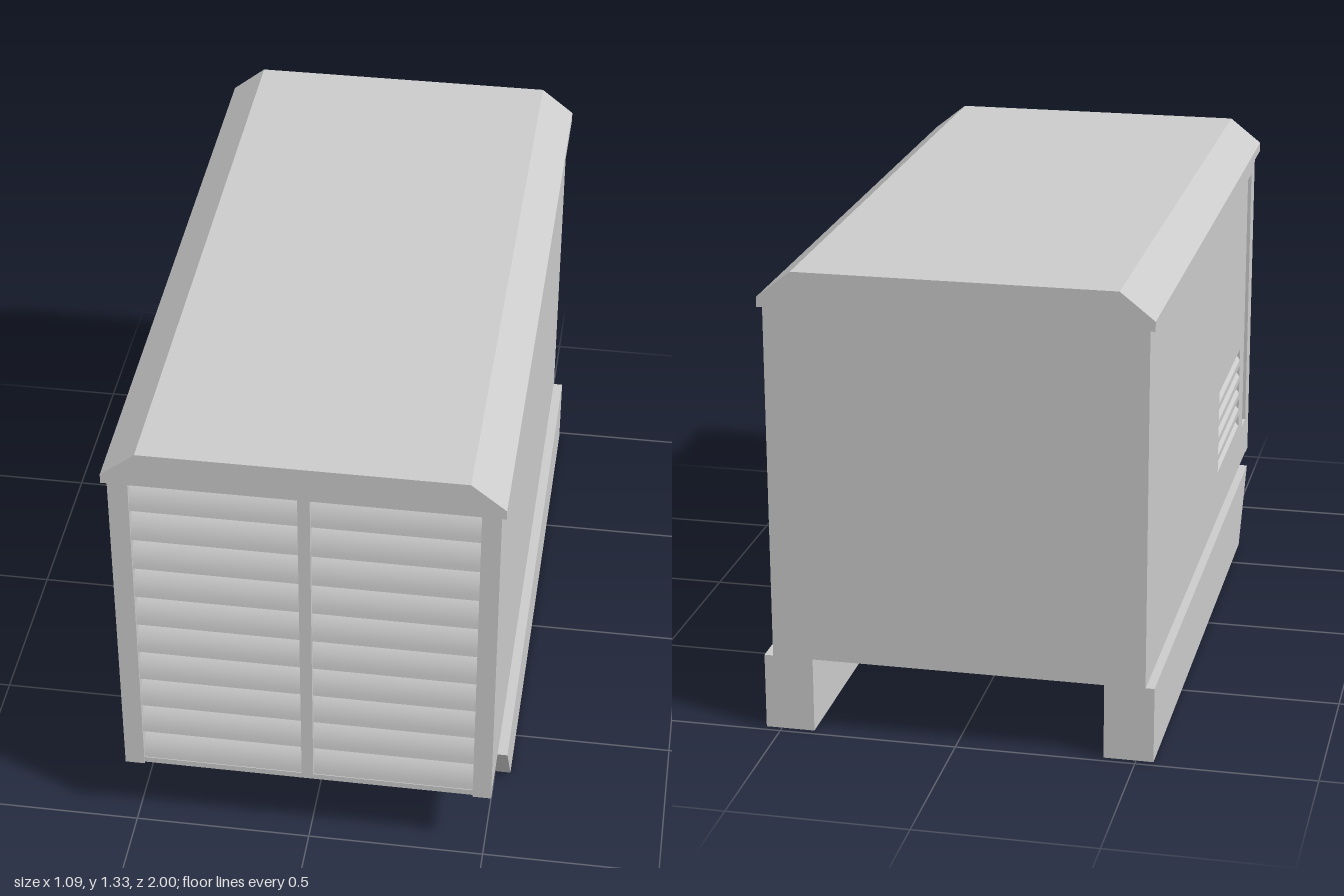
import * as THREE from 'three';
import { toCreasedNormals } from 'three/addons/utils/BufferGeometryUtils.js';

const grey = new THREE.MeshStandardMaterial({ color: 0xcccccc, side: THREE.DoubleSide });

// Box given by its limits on each axis
function box(name, [x0, x1], [y0, y1], [z0, z1]) {
  const m = new THREE.Mesh(new THREE.BoxGeometry(x1 - x0, y1 - y0, z1 - z0), grey);
  m.position.set((x0 + x1) / 2, (y0 + y1) / 2, (z0 + z1) / 2);
  m.name = name;
  return m;
}

const polygon = (pts) => new THREE.Shape(pts.map(([a, b]) => new THREE.Vector2(a, b)));
const rect = (a0, a1, b0, b1) => polygon([[a0, b0], [a1, b0], [a1, b1], [a0, b1]]);

// Extrude a (z, y) profile across x, from x0 to x1
function acrossX(name, shape, x0, x1, smooth = false) {
  let g = new THREE.ExtrudeGeometry(shape, { depth: x1 - x0, bevelEnabled: false, curveSegments: 8 });
  g.rotateY(-Math.PI / 2).translate(x1, 0, 0);
  if (smooth) g = toCreasedNormals(g, 0.6);
  const m = new THREE.Mesh(g, grey);
  m.name = name;
  return m;
}

export function createModel() {
  const model = new THREE.Group();
  model.name = 'enclosure';
  const L = -0.525, R = 0.517, T = 0.02, floor = 0.22, top = 1.235;

  // Roof with chamfered long edges
  const roofShape = polygon([[-0.54, 1.228], [0.53, 1.228], [0.53, 1.255],
    [0.435, 1.33], [-0.445, 1.33], [-0.54, 1.255]]);
  const roof = new THREE.Mesh(
    new THREE.ExtrudeGeometry(roofShape, { depth: 2, bevelEnabled: false }).translate(0, 0, -1), grey);
  roof.name = 'roof';
  model.add(roof);

  // Plain side wall and back wall; the underside is open
  model.add(box('plainSideWall', [R - T, R], [floor, top], [-0.99, 0.95]));
  model.add(box('backWall', [L + T, R - T], [floor, top], [-0.99, -0.97]));

  // Vented side wall with five slots and a tall recess
  const wall = rect(-0.99, 0.95, floor, top);
  const vents = new THREE.Group();
  vents.name = 'sideVent';
  for (let i = 0; i < 5; i++) {
    const y = 0.375 + i * 0.056, h = 0.037;
    wall.holes.push(rect(0.3, 0.75, y, y + h));
    // Blade leaning inward towards its top
    const blade = box('ventBlade', [-0.003, 0.003], [0, Math.hypot(0.035, h)], [0.3, 0.75]);
    blade.geometry.translate(0, Math.hypot(0.035, h) / 2, 0);
    blade.position.set(L + 0.003, y, 0.525);
    blade.rotation.z = -Math.atan2(0.035, h);
    vents.add(blade);
  }
  wall.holes.push(rect(0.84, 0.92, 0.34, 1.17));
  model.add(acrossX('ventedSideWall', wall, L, L + T), vents);

  // Shallow pocket behind the tall recess
  const pocket = rect(0.83, 0.93, 0.33, 1.18);
  pocket.holes.push(rect(0.84, 0.92, 0.34, 1.17));
  model.add(acrossX('recessSides', pocket, L + T, L + 0.032));
  model.add(box('recessBack', [L + 0.032, L + 0.037], [0.33, 1.18], [0.83, 0.93]));

  // Front frame
  model.add(box('frontPost', [L, -0.47], [0.215, top], [0.95, 0.992]));
  model.add(box('frontPost', [0.465, R], [0.215, top], [0.95, 0.992]));
  model.add(box('frontSill', [-0.47, 0.465], [0.218, 0.236], [0.95, 0.988]));
  model.add(box('centreMullion', [-0.018, 0.015], [0.24, top], [0.975, 0.998]));

  // Curved front louvres
  const louvres = new THREE.Group();
  louvres.name = 'frontLouvres';
  for (let i = 0; i < 10; i++) {
    const y = 0.235 + i * 0.0995, t = y + 0.103;
    const s = new THREE.Shape();
    s.moveTo(0.986, y);
    s.quadraticCurveTo(0.982, t - 0.03, 0.93, t);
    s.lineTo(0.926, t - 0.006);
    s.quadraticCurveTo(0.974, t - 0.036, 0.978, y);
    s.closePath();
    louvres.add(acrossX('louvre', s, -0.47, 0.465, true));
  }
  model.add(louvres);

  // Skids with raked front ends
  const skid = polygon([[-0.98, 0], [0.66, 0], [0.815, 0.217], [-0.98, 0.217]]);
  model.add(acrossX('skid', skid, -0.548, -0.41));
  model.add(acrossX('skid', skid, 0.407, 0.545));

  return model;
}
